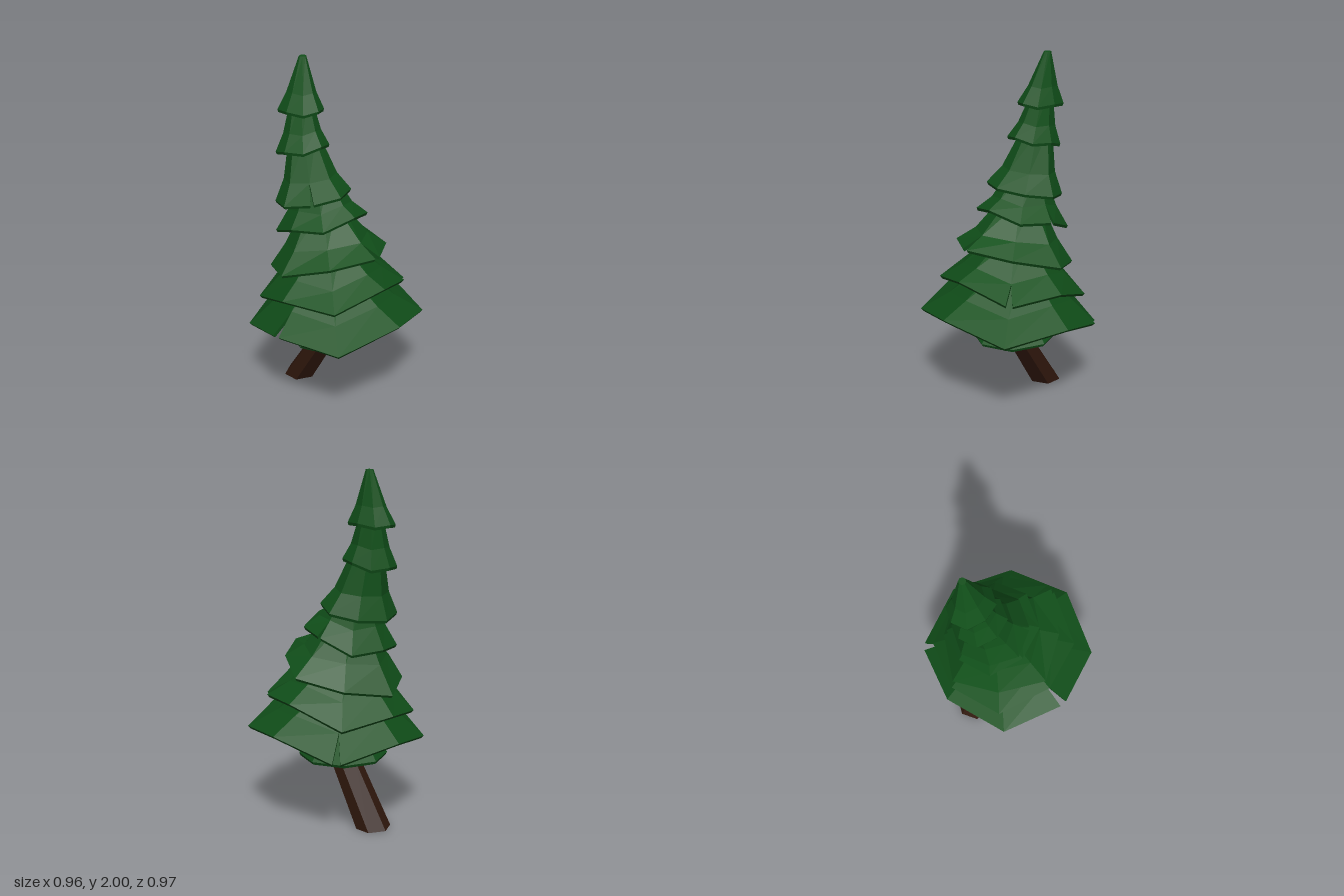
import * as THREE from 'three';

const foliage = new THREE.MeshStandardMaterial({ color: 0x11501a, flatShading: true });
const bark = new THREE.MeshStandardMaterial({ color: 0x30180d, flatShading: true });

// Collects quads and triangles into a flat-shaded geometry
function faceBuilder() {
  const pos = [];
  const tri = (a, b, c) => pos.push(...a, ...b, ...c);
  const quad = (a, b, c, d) => { tri(a, b, c); tri(a, c, d); };
  const geometry = () => {
    const g = new THREE.BufferGeometry();
    g.setAttribute('position', new THREE.Float32BufferAttribute(pos, 3));
    g.computeVertexNormals();
    return g;
  };
  return { tri, quad, geometry };
}

// Eight-sided hollow skirt: small top ring, flared middle ring, zigzag rim,
// then back up the inside. Slits split the rim at the given corners.
function skirt({ rim, rx, rz, slope = 0, drop = 0, diag = 1.04, top, r, mid = 0.7, slits = [] }) {
  const { tri, quad, geometry } = faceBuilder();
  const lerp = THREE.MathUtils.lerp;

  const column = (k, side) => {
    const corner = k % 8, odd = corner % 2;
    const gap = slits.includes(corner) ? side * 0.045 : 0;
    const point = (t, scale, topR, shift, dy) => {
      const a = corner * Math.PI / 4 + shift;
      const grow = odd ? diag : 1;
      const ox = Math.cos(a) * (topR ?? rx * scale * grow);
      const oz = Math.sin(a) * (topR ?? rz * scale * grow);
      const tilt = (1 - t) * (slope * ox - odd * drop);
      return [lerp(rim[0], top[0], t) + ox, lerp(rim[1], top[1], t) + tilt + dy, lerp(rim[2], top[2], t) + oz];
    };
    return [
      point(1, 0, r, 0, 0),
      point(0.33, mid, undefined, 0, 0),
      point(0, 1, undefined, gap, 0),
      point(0, 0.97, undefined, gap, -0.016),
      point(0.33, mid * 0.95, undefined, 0, -0.022),
      point(1, 0, r * 0.8, 0, -0.025),
    ];
  };

  const cap = top, ceiling = [top[0], top[1] - 0.025, top[2]];
  for (let k = 0; k < 8; k++) {
    const p = column(k, 1), q = column(k + 1, -1);
    for (let i = 0; i < 5; i++) quad(p[i], q[i], q[i + 1], p[i + 1]);
    tri(cap, q[0], p[0]);
    tri(ceiling, p[5], q[5]);
    if (slits.includes(k)) quad(p[1], p[2], p[3], p[4]);
    if (slits.includes((k + 1) % 8)) quad(q[4], q[3], q[2], q[1]);
  }
  return geometry();
}

// Six-sided trunk swept through horizontal rings of [x, y, radius]
function trunkGeometry(rings) {
  const { tri, quad, geometry } = faceBuilder();
  const at = ([x, y, r], k) => {
    const a = k * Math.PI / 3;
    return [x + r * Math.cos(a), y, r * Math.sin(a) * 1.1];
  };
  const last = rings[rings.length - 1];
  for (let k = 0; k < 6; k++) {
    for (let i = 0; i < rings.length - 1; i++) {
      quad(at(rings[i + 1], k), at(rings[i + 1], k + 1), at(rings[i], k + 1), at(rings[i], k));
    }
    tri([rings[0][0], rings[0][1], 0], at(rings[0], k), at(rings[0], k + 1));
    tri([last[0], last[1], 0], at(last, k + 1), at(last, k));
  }
  return geometry();
}

export function createModel() {
  const tree = new THREE.Group();
  tree.name = 'leaningFirTree';
  const add = (name, geometry, material) => {
    const mesh = new THREE.Mesh(geometry, material);
    mesh.name = name;
    tree.add(mesh);
  };

  // Trunk leans to the left, then bends back inside the foliage
  add('trunk', trunkGeometry([
    [-0.293, 0, 0.094], [-0.075, 0.35, 0.08], [-0.06, 0.6, 0.06],
    [-0.07, 0.85, 0.045], [-0.11, 1.1, 0.035], [-0.2, 1.4, 0.02],
  ]), bark);

  // Foliage tiers from the bottom up; corner 0 is +x, corner 2 is the front
  const tiers = [
    { rim: [-0.055, 0.385, 0], rx: 0.255, rz: 0.245, slope: -0.02, diag: 1, mid: 0.78, top: [-0.065, 0.62, 0], r: 0.09 },
    { rim: [0, 0.575, 0], rx: 0.478, rz: 0.485, slope: 0.09, drop: 0.075, top: [-0.06, 0.85, 0], r: 0.1, slits: [2, 5] },
    { rim: [-0.035, 0.745, 0], rx: 0.4, rz: 0.395, slope: 0.17, drop: 0.065, top: [-0.06, 0.99, 0], r: 0.1, slits: [7] },
    { rim: [-0.055, 0.89, 0.005], rx: 0.37, rz: 0.375, slope: 0.27, diag: 0.88, top: [-0.1, 1.2, 0], r: 0.1, slits: [0] },
    { rim: [-0.11, 1.105, 0], rx: 0.25, rz: 0.245, slope: 0.28, drop: 0.03, top: [-0.15, 1.36, 0], r: 0.09, slits: [6] },
    { rim: [-0.15, 1.235, 0.025], rx: 0.21, rz: 0.23, slope: 0.2, diag: 0.96, top: [-0.23, 1.56, 0.01], r: 0.085, slits: [1] },
    { rim: [-0.225, 1.51, 0.03], rx: 0.145, rz: 0.14, slope: 0.2, drop: 0.015, top: [-0.26, 1.78, 0], r: 0.055 },
    { rim: [-0.255, 1.72, 0.01], rx: 0.135, rz: 0.11, slope: 0.05, drop: 0.01, mid: 0.64, top: [-0.27, 2, -0.025], r: 0.02 },
  ];
  tiers.forEach((tier, i) => add(`foliageTier${i + 1}`, skirt(tier), foliage));
  return tree;
}
